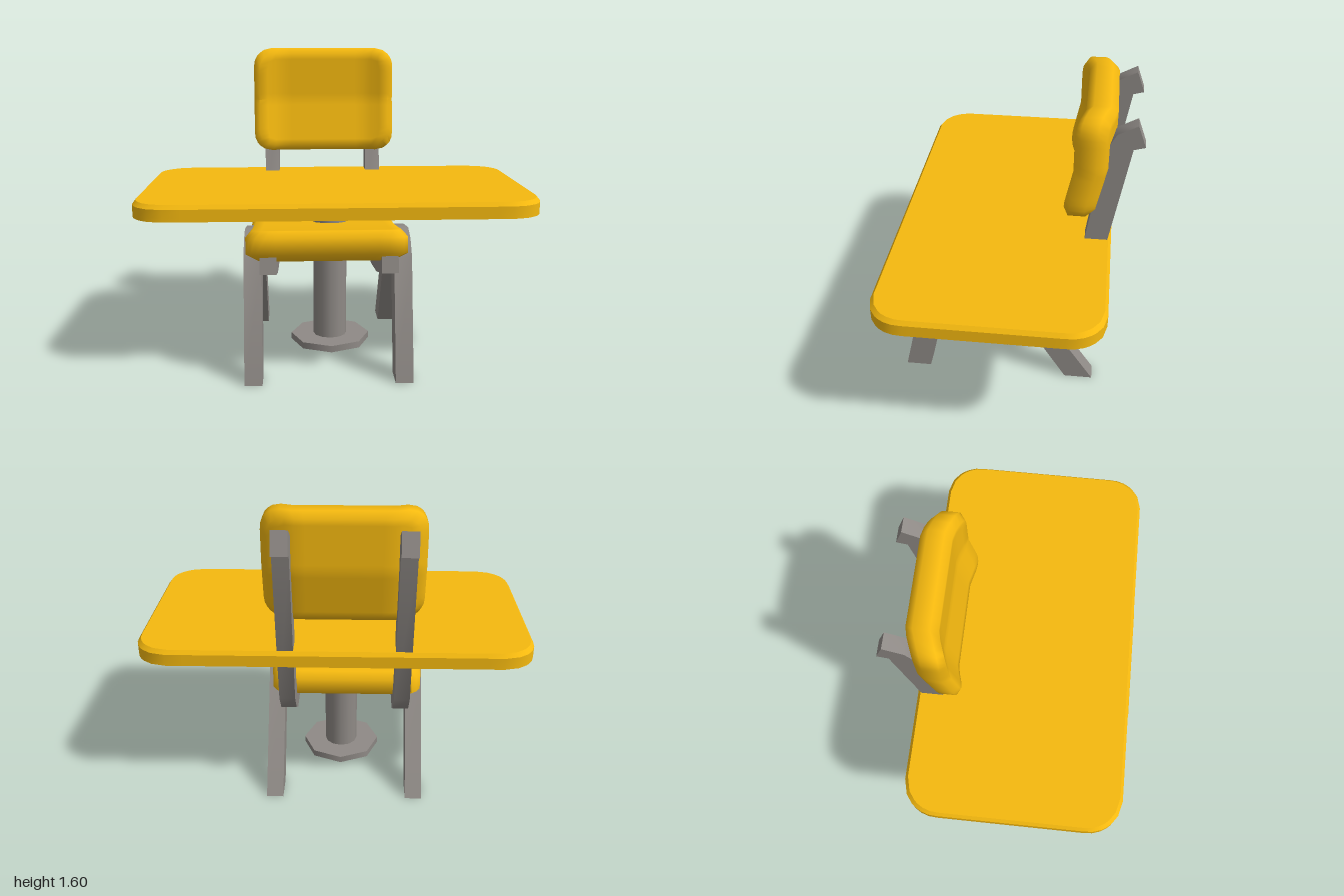
import * as THREE from 'three';
import { mergeVertices, toCreasedNormals } from 'three/addons/utils/BufferGeometryUtils.js';

const yellow = new THREE.MeshStandardMaterial({ color: 0xf5b90f });
const steel = new THREE.MeshStandardMaterial({ color: 0x8f8a86 });
const { clamp } = THREE.MathUtils;

function add(parent, name, geometry, material, x = 0, y = 0, z = 0) {
  const mesh = new THREE.Mesh(geometry, material);
  mesh.name = name;
  mesh.position.set(x, y, z);
  parent.add(mesh);
  return mesh;
}

// Flat slab with rounded plan corners and bevelled upper and lower rims
function slab(w, t, d, radius, topInset, bottomInset, bevel, segments = 16) {
  const geo = new THREE.BoxGeometry(w, t, d, segments, 3, segments);
  const p = geo.attributes.position;
  for (let i = 0; i < p.count; i++) {
    let x = p.getX(i), y = p.getY(i), z = p.getZ(i);
    const a = Math.abs(x) - (w / 2 - radius), b = Math.abs(z) - (d / 2 - radius);
    if (a > 0 && b > 0) {
      const k = Math.max(a, b) / Math.hypot(a, b);
      x = Math.sign(x) * (w / 2 - radius + a * k);
      z = Math.sign(z) * (d / 2 - radius + b * k);
    }
    if (Math.abs(y) > t * 0.4) {
      const inset = y > 0 ? topInset : bottomInset;
      x *= 1 - 2 * inset / w;
      z *= 1 - 2 * inset / d;
    } else {
      y = Math.sign(y) * (t / 2 - bevel);
    }
    p.setXYZ(i, x, y, z);
  }
  return geo;
}

// Move each vertex by a rule
function bend(geo, rule) {
  const p = geo.attributes.position, v = new THREE.Vector3();
  for (let i = 0; i < p.count; i++) {
    v.fromBufferAttribute(p, i);
    rule(v);
    p.setXYZ(i, v.x, v.y, v.z);
  }
  return geo;
}

function smooth(geo, crease = 1.1) {
  geo.deleteAttribute('uv');
  geo.deleteAttribute('normal');
  return toCreasedNormals(mergeVertices(geo, 1e-4), crease);
}

// Side outline given as [z, y], extruded across x
function sideBar(outline, width) {
  const shape = new THREE.Shape(outline.map(([z, y]) => new THREE.Vector2(z, y)));
  const geo = new THREE.ExtrudeGeometry(shape, { depth: width, bevelEnabled: false });
  geo.translate(0, 0, -width / 2).rotateY(-Math.PI / 2);
  return smooth(geo, 0.8);
}

export function createModel() {
  const model = new THREE.Group();
  model.name = 'deskWithChair';
  model.rotation.y = -0.018;

  // Desk: top, column and foot disc
  const desk = new THREE.Group();
  desk.name = 'desk';
  model.add(desk);
  add(desk, 'deskTop', smooth(slab(1.985, 0.08, 1.09, 0.17, 0.015, 0, 0.02, 24), 0.6), yellow, 0, 0.86, 0.055);
  add(desk, 'deskColumn', new THREE.CylinderGeometry(0.09, 0.09, 0.78, 12), steel, -0.025, 0.44, 0.055);
  add(desk, 'deskFoot', new THREE.CylinderGeometry(0.212, 0.212, 0.035, 8), steel, -0.025, 0.043, 0.055);

  const chair = new THREE.Group();
  chair.name = 'chair';
  chair.position.x = -0.05;
  model.add(chair);

  // Bent leg frames and the rails that turn up into back posts
  const legOutline = [
    [0.605, 0], [0.465, 0.6], [0.4, 0.68], [0.31, 0.715], [0.13, 0.69], [0, 0.65], [-0.06, 0.59],
    [-0.44, 0], [-0.29, 0], [0, 0.48], [0.04, 0.56], [0.12, 0.575], [0.3, 0.6], [0.345, 0.55], [0.47, 0],
  ];
  const railOutline = [
    [0.615, 0.565], [0.35, 0.495], [0.1, 0.46], [-0.15, 0.442], [-0.235, 0.44], [-0.34, 0.5], [-0.42, 0.6],
    [-0.56, 1.425], [-0.615, 1.44], [-0.575, 1.55], [-0.48, 1.5], [-0.43, 1.41],
    [-0.32, 0.64], [-0.25, 0.57], [-0.17, 0.53], [0.1, 0.55], [0.35, 0.58], [0.6, 0.645],
  ];
  for (const [side, s] of [['left', 1], ['right', -1]]) {
    add(chair, side + 'LegFrame', sideBar(legOutline, 0.088), steel, s * 0.37);
    add(chair, side + 'BackRail', sideBar(railOutline, 0.08), steel, s * 0.29);
  }

  // Seat pad rising towards its front edge
  const seat = bend(slab(0.785, 0.15, 0.905, 0.09, 0.03, 0.055, 0.035), (v) => {
    v.z += 0.165;
    v.y += 0.597 + 0.1 * Math.pow(clamp((v.z + 0.27) / 0.87, 0, 1.1), 1.7);
  });
  add(chair, 'seat', smooth(seat), yellow, -0.008);

  // Back pad: sides wrap forward, lower half leans forward
  const back = bend(slab(0.78, 0.15, 0.57, 0.1, 0.03, 0.03, 0.035).rotateX(Math.PI / 2), (v) => {
    v.y += 1.315;
    v.z -= 0.355 + 0.05 * clamp((0.38 - Math.abs(v.x)) / 0.14, 0, 1);
    v.z += 0.06 * Math.max(0, (1.315 - v.y) / 0.285);
  });
  add(chair, 'backrest', smooth(back), yellow, 0.005);

  return model;
}
